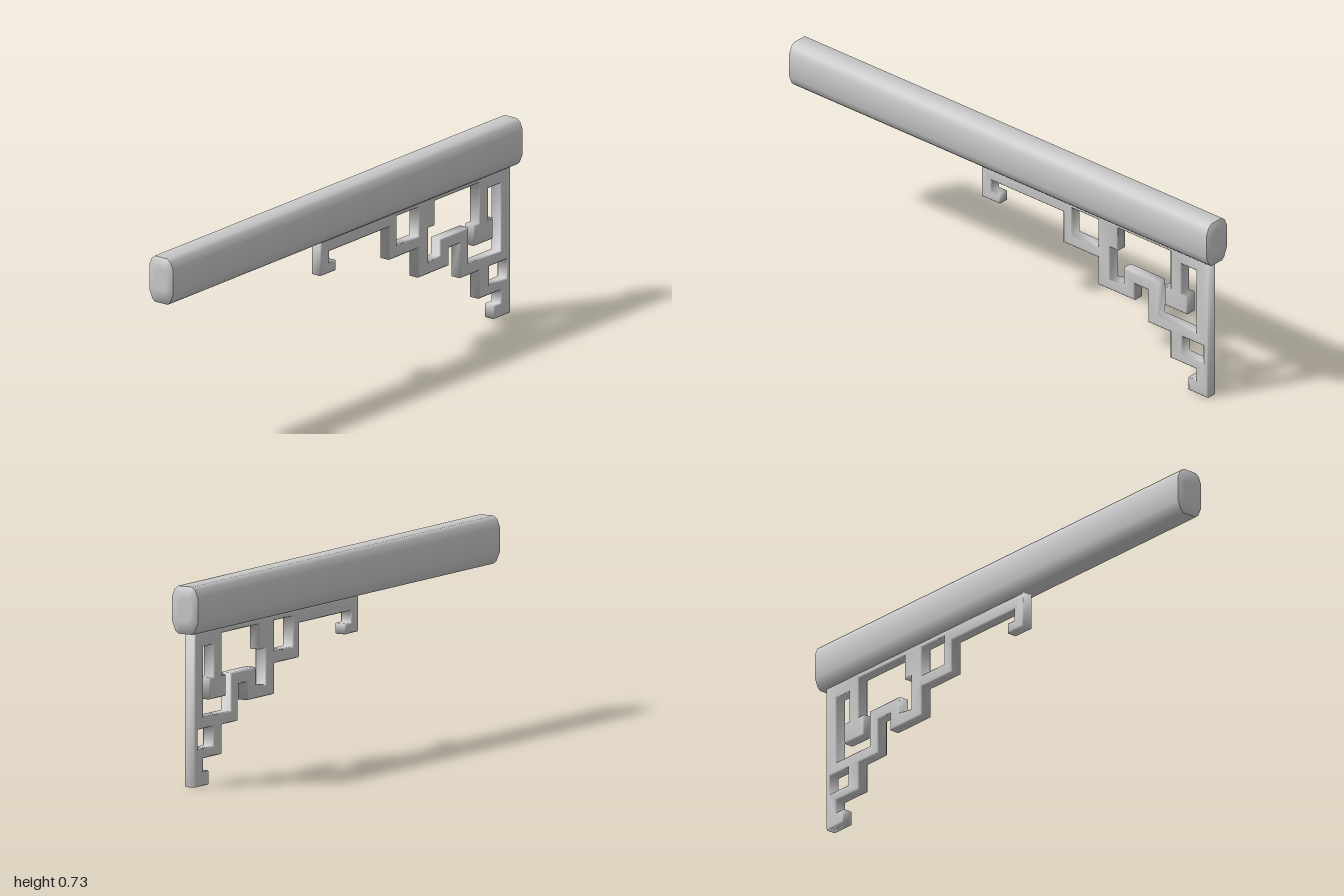
import * as THREE from 'three';
import { mergeVertices } from 'three/addons/utils/BufferGeometryUtils.js';

const toPoints = (pairs) => pairs.map(([a, b]) => new THREE.Vector2(a, b));

// Skins a loop of points through rings of [z, scale, sideways normal, z normal]
function sweepProfile(points, centreY, rings) {
  const n = points.length, positions = [], normals = [], index = [];
  const edgeNormal = (i) => {
    const d = points[(i + 1) % n].clone().sub(points[i]).normalize();
    return new THREE.Vector2(d.y, -d.x);
  };
  rings.forEach(([z, scale, side, nz], r) => {
    points.forEach((p, i) => {
      positions.push(p.x * scale, centreY + (p.y - centreY) * scale, z);
      const out = edgeNormal(i).add(edgeNormal((i + n - 1) % n)).normalize();
      normals.push(...new THREE.Vector3(out.x * side, out.y * side, nz).normalize());
      if (r === 0) return;
      const a = (r - 1) * n + i, b = (r - 1) * n + (i + 1) % n;
      index.push(a, b, b + n, a, b + n, a + n);
    });
  });
  const geometry = new THREE.BufferGeometry();
  geometry.setAttribute('position', new THREE.Float32BufferAttribute(positions, 3));
  geometry.setAttribute('normal', new THREE.Float32BufferAttribute(normals, 3));
  geometry.setIndex(index);
  return geometry;
}

export function createModel() {
  const group = new THREE.Group();
  const material = new THREE.MeshStandardMaterial({ color: 0xcccccc });

  // Long beam with a rounded profile and softly shaded ends
  const half = [[0.03, 0.56], [0.041, 0.57], [0.055, 0.603], [0.055, 0.695], [0.044, 0.722], [0.029, 0.734]];
  const profile = toPoints([...half, ...half.map(([x, y]) => [-x, y]).reverse()]);
  const beam = new THREE.Mesh(sweepProfile(profile, 0.647, [
    [-1, 0, 0, -1], [-1, 0.45, 0, -1], [-1, 1, 0.7, -1], [-1, 1, 1, 0],
    [1, 1, 1, 0], [1, 1, 0.7, 1], [1, 0.45, 0, 1], [1, 0, 0, 1],
  ]), material);
  beam.name = 'beam';
  group.add(beam);

  // Stepped fretwork bracket, drawn as [distance towards the back, height]
  const outline = [
    [-0.11, 0.56], [0.973, 0.56], [0.973, 0], [0.88, 0], [0.88, 0.052], [0.917, 0.052], [0.917, 0.1],
    [0.794, 0.1], [0.794, 0.207], [0.687, 0.207], [0.687, 0.34], [0.623, 0.34], [0.623, 0.273],
    [0.447, 0.273], [0.447, 0.385], [0.281, 0.385], [0.281, 0.51], [-0.061, 0.51], [-0.061, 0.467],
    [-0.024, 0.467], [-0.024, 0.428], [-0.11, 0.428],
  ];
  // Openings run anticlockwise, against the outline
  const openings = [
    // upper square
    [[0.324, 0.43], [0.447, 0.43], [0.447, 0.54], [0.324, 0.54]],
    // lower square
    [[0.853, 0.137], [0.952, 0.137], [0.952, 0.208], [0.853, 0.208]],
    // winding central opening around the hanging pendant
    [
      [0.543, 0.447], [0.505, 0.447], [0.505, 0.315], [0.57, 0.325], [0.57, 0.387], [0.735, 0.387],
      [0.735, 0.25], [0.917, 0.25], [0.917, 0.506], [0.848, 0.506], [0.848, 0.387], [0.874, 0.387],
      [0.874, 0.308], [0.767, 0.308], [0.767, 0.387], [0.794, 0.387], [0.794, 0.54], [0.543, 0.54],
    ],
  ];
  const shape = new THREE.Shape(toPoints(outline));
  shape.holes = openings.map((o) => new THREE.Path(toPoints(o)));
  const bevel = 0.005, thickness = 0.047;
  let bracketGeo = new THREE.ExtrudeGeometry(shape, {
    depth: thickness - 2 * bevel, bevelThickness: bevel, bevelSize: bevel, bevelOffset: -bevel, bevelSegments: 1,
  });
  bracketGeo.rotateY(Math.PI / 2);
  bracketGeo.translate(-0.026 + bevel, 0, 0);
  // Shared normals soften the edges
  bracketGeo.deleteAttribute('normal');
  bracketGeo.deleteAttribute('uv');
  bracketGeo = mergeVertices(bracketGeo);
  bracketGeo.computeVertexNormals();
  const bracket = new THREE.Mesh(bracketGeo, material);
  bracket.name = 'fretworkBracket';
  group.add(bracket);

  return group;
}
